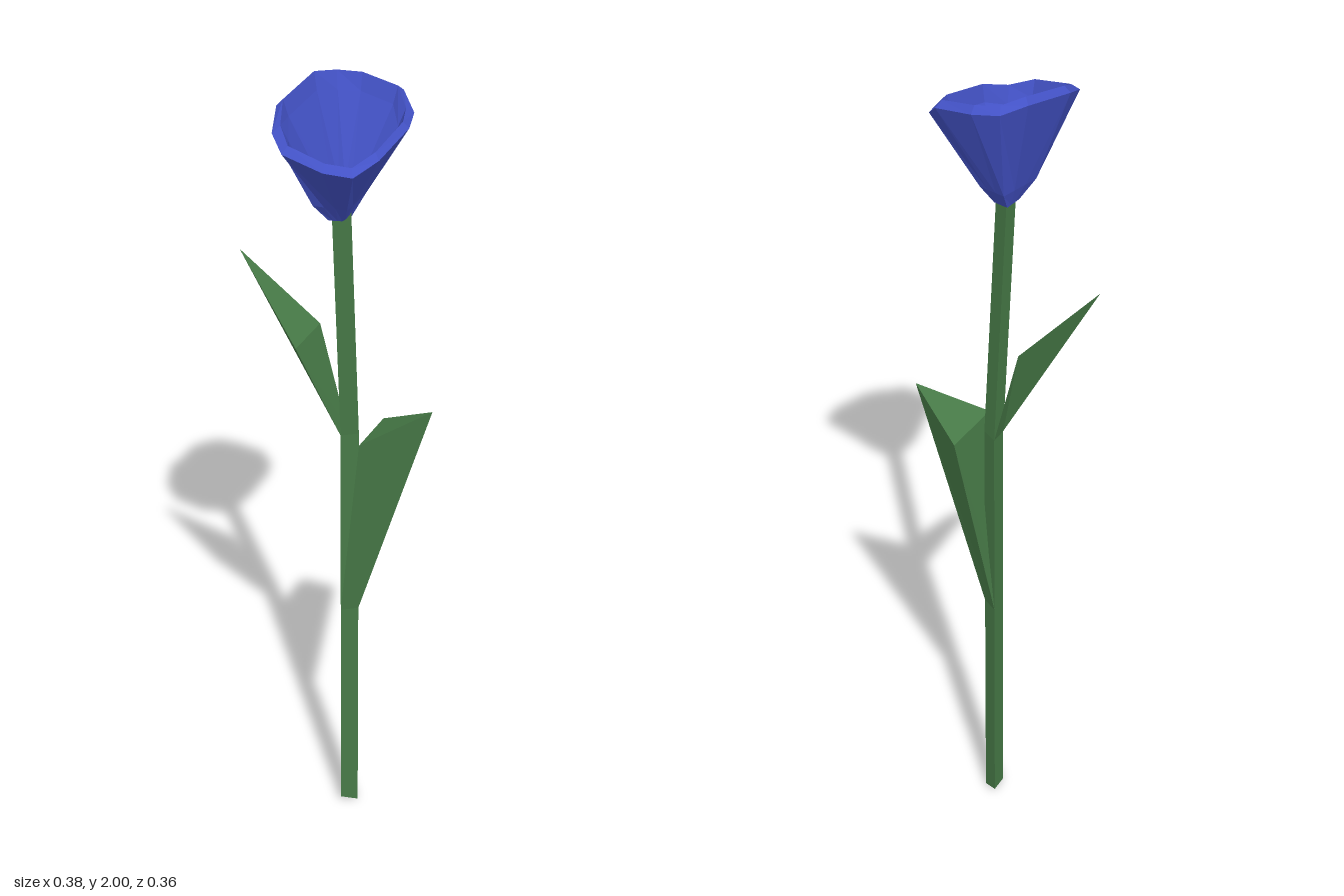
import * as THREE from 'three';

const green = new THREE.MeshStandardMaterial({ color: 0x477a47 });
green.name = 'leaf green';
const blue = new THREE.MeshStandardMaterial({ color: 0x4352c6 });
blue.name = 'petal blue';

// Skins a stack of rings (each clockwise seen from above) and closes both ends, with flat faces
function loft(name, material, rings) {
  const out = [];
  const tri = (a, b, c) => {
    const ab = new THREE.Vector3().subVectors(b, a);
    const ac = new THREE.Vector3().subVectors(c, a);
    if (ab.cross(ac).length() < 1e-7) return;
    for (const p of [a, b, c]) out.push(p.x, p.y, p.z);
  };
  const r = rings.map(ring => ring.map(p => new THREE.Vector3(...p)));
  const n = r[0].length;
  for (let k = 0; k + 1 < r.length; k++) {
    for (let i = 0; i < n; i++) {
      const j = (i + 1) % n;
      tri(r[k][i], r[k + 1][i], r[k + 1][j]);
      tri(r[k][i], r[k + 1][j], r[k][j]);
    }
  }
  const first = r[0], last = r[r.length - 1];
  for (let i = 1; i + 1 < n; i++) {
    tri(first[0], first[i], first[i + 1]);
    tri(last[0], last[i + 1], last[i]);
  }
  const geometry = new THREE.BufferGeometry();
  geometry.setAttribute('position', new THREE.Float32BufferAttribute(out, 3));
  geometry.computeVertexNormals();
  const mesh = new THREE.Mesh(geometry, material);
  mesh.name = name;
  return mesh;
}

// Three-sided stem section, shifted sideways where the stem leans
const section = (y, dx = 0, dz = 0) =>
  [[0, -0.033], [0.027, -0.068], [0.043, -0.027]].map(([x, z]) => [x + dx, y, z + dz]);

// Four corners spread to twelve points so they can meet the petal rim
function square(corners, y) {
  const ring = [];
  corners.forEach(([x, z], i) => {
    const [nx, nz] = corners[(i + 1) % 4];
    for (let t = 0; t < 3; t++) ring.push([x + (nx - x) * t / 3, y, z + (nz - z) * t / 3]);
  });
  return ring;
}

export function createModel() {
  const model = new THREE.Group();
  model.name = 'flower';

  // Stem: straight to the upper leaf, then leaning; the foot is cut at a slant
  const foot = section(0.015);
  foot[2][1] = 0;
  model.add(loft('stem', green, [foot, section(1.1), section(1.71, -0.036, 0.045)]));

  // Lower leaf, growing out of the stem section
  model.add(loft('lowerLeaf', green, [
    section(0.6),
    [[0.02, 1.11, 0.037], [0.12, 1.1, -0.07], [0.187, 1.185, 0.07]],
  ]));

  // Upper leaf, with a keel running to its tip
  const [a, b] = section(1.1);
  model.add(loft('upperLeaf', green, [
    [a, a, b],
    [[-0.105, 1.35, -0.041], [-0.188, 1.55, -0.182], [-0.02, 1.36, -0.115]],
  ]));

  // Blossom: four petals, every third rim point is a seam between two of them
  const rim = [
    [0.023, 1.975, -0.125], [0.08, 1.97, -0.1], [0.146, 1.955, -0.032],
    [0.153, 1.92, 0.014], [0.12, 1.915, 0.071], [0.02, 1.893, 0.154],
    [-0.048, 1.875, 0.179], [-0.11, 1.89, 0.163], [-0.175, 1.91, 0.089],
    [-0.178, 1.935, 0.034], [-0.145, 1.965, -0.032], [-0.04, 1.985, -0.109],
  ];
  const inward = (side, seam, dy) => rim.map(([x, y, z], i) => {
    const s = i % 3 ? side : seam;
    return [-0.013 + (x + 0.013) * s, y + dy, 0.025 + (z - 0.025) * s];
  });
  model.add(loft('blossom', blue, [
    square([[-0.01, -0.024], [0.014, 0.004], [-0.015, 0.022], [-0.042, 0.008]], 1.69),
    square([[0.002, -0.05], [0.046, 0], [-0.018, 0.06], [-0.08, 0.013]], 1.735),
    rim,
    inward(0.9, 0.88, 0.015),
    inward(0.82, 0.77, -0.025),
    square([[-0.005, -0.029], [0.03, -0.002], [-0.02, 0.037], [-0.063, 0.012]], 1.76),
  ]));
  return model;
}
